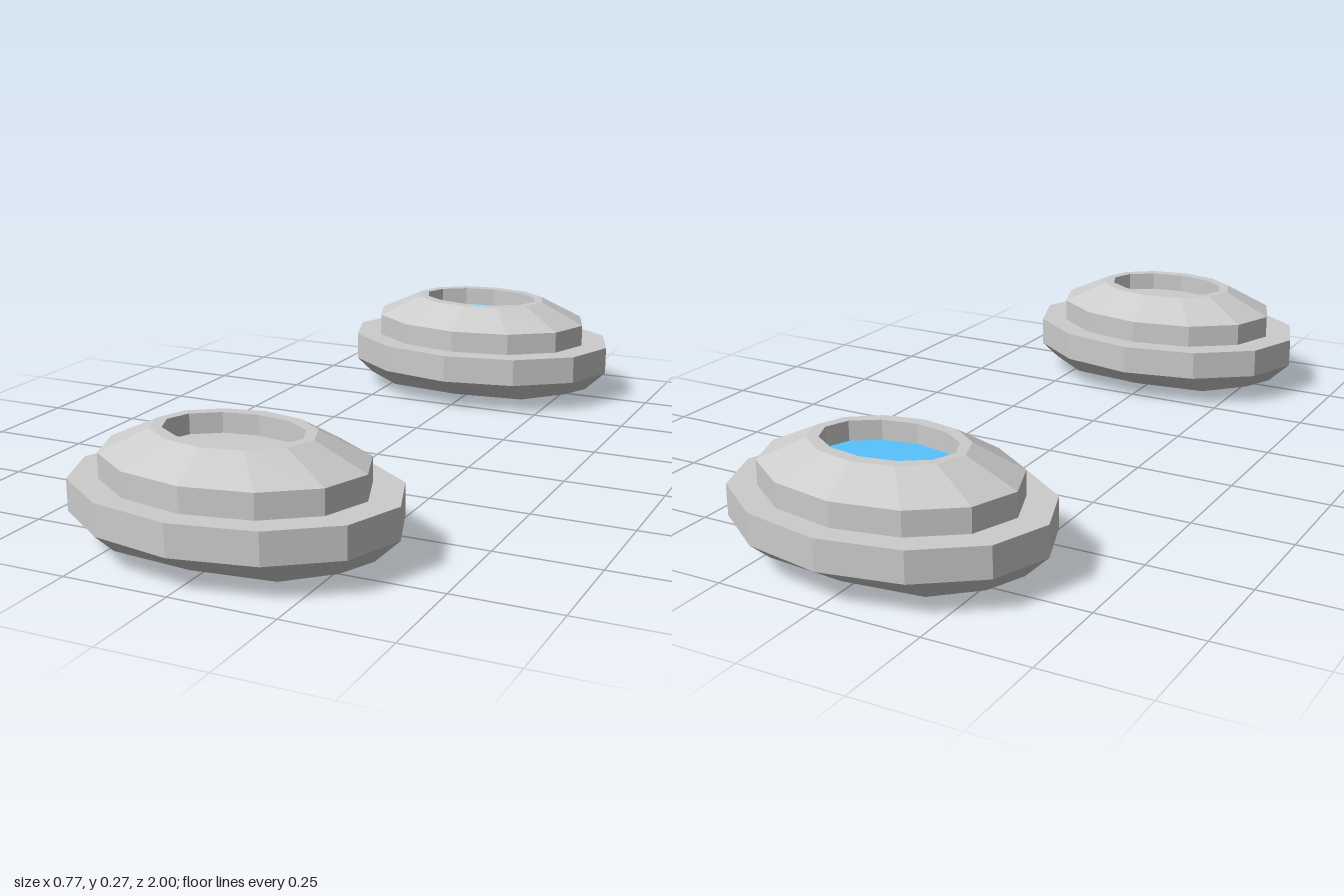
import * as THREE from 'three';

const SIDES = 12;
const grey = new THREE.MeshStandardMaterial({ color: 0xcccccc, flatShading: true });
const blue = new THREE.MeshStandardMaterial({ color: 0x57c3ff });

// Regular elliptical ring
function ellipse(rx, y, rz) {
  return Array.from({ length: SIDES }, (_, i) => {
    const a = (i / SIDES) * Math.PI * 2;
    return new THREE.Vector3(rx * Math.cos(a), y, rz * Math.sin(a));
  });
}

// Ring mirrored from one quarter: four points from the +x end to the +z side
function mirrored(quarter) {
  return Array.from({ length: SIDES }, (_, i) => {
    const q = i % 6;
    const [x, y, z] = quarter[q <= 3 ? q : 6 - q];
    const sx = i > 3 && i < 9 ? -1 : 1;
    const sz = i > 6 ? -1 : 1;
    return new THREE.Vector3(x * sx, y, z * sz);
  });
}

// Skin of faces through successive rings, dropping collapsed triangles
function loft(rings) {
  const pos = [];
  const tri = (a, b, c) => {
    if (a.distanceTo(b) < 1e-6 || b.distanceTo(c) < 1e-6 || a.distanceTo(c) < 1e-6) return;
    pos.push(...a.toArray(), ...b.toArray(), ...c.toArray());
  };
  for (let r = 0; r < rings.length - 1; r++) {
    for (let i = 0; i < SIDES; i++) {
      const j = (i + 1) % SIDES;
      const [a, b, c, d] = [rings[r][i], rings[r][j], rings[r + 1][j], rings[r + 1][i]];
      tri(a, c, b);
      tri(a, d, c);
    }
  }
  const g = new THREE.BufferGeometry();
  g.setAttribute('position', new THREE.Float32BufferAttribute(pos, 3));
  g.computeVertexNormals();
  return g;
}

function addMesh(parent, name, geometry, material) {
  const mesh = new THREE.Mesh(geometry, material);
  mesh.name = name;
  parent.add(mesh);
  return mesh;
}

function createPad(name, floorMaterial) {
  const pad = new THREE.Group();
  pad.name = name;

  // Hull: a shallow keel along x, a sloped underside, the outer band and its ledge
  addMesh(pad, 'base', loft([
    mirrored([[0.327, 0.028, 0], [0.195, 0.005, 0], [0.195, 0.005, 0], [0, 0, 0]]),
    mirrored([[0.327, 0.028, 0], [0.30, 0.038, 0.11], [0.195, 0.027, 0.175], [0, 0.025, 0.193]]),
    ellipse(0.385, 0.083, 0.28),
    ellipse(0.385, 0.157, 0.28),
    ellipse(0.312, 0.157, 0.224),
  ]), grey);

  // Upper tier: upright wall, sloped shoulder, narrow lip and the recess wall
  addMesh(pad, 'upperTier', loft([
    ellipse(0.312, 0.157, 0.224),
    ellipse(0.312, 0.215, 0.224),
    ellipse(0.19, 0.272, 0.14),
    ellipse(0.165, 0.272, 0.109),
    ellipse(0.165, 0.225, 0.109),
  ]), grey);

  // Recess floor
  const floor = addMesh(pad, 'recessFloor', new THREE.CircleGeometry(1, SIDES), floorMaterial);
  floor.rotation.x = -Math.PI / 2;
  floor.scale.set(0.165, 0.109, 1);
  floor.position.y = 0.225;
  return pad;
}

export function createModel() {
  const model = new THREE.Group();
  model.name = 'padPair';
  const front = createPad('frontPad', grey);
  front.position.z = 0.72;
  const back = createPad('backPad', blue);
  back.position.z = -0.72;
  model.add(front, back);
  return model;
}
